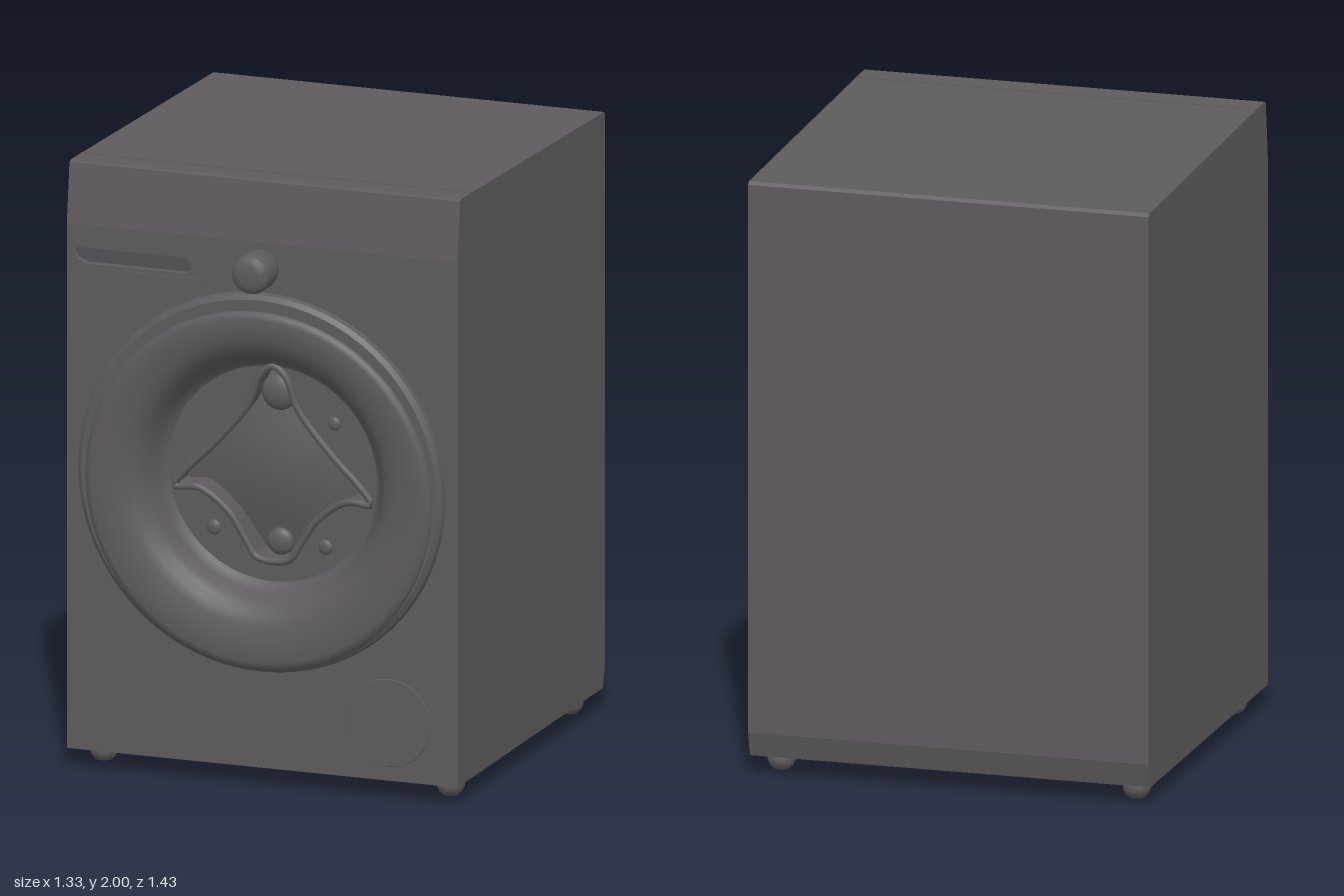
import * as THREE from 'three';
import { toCreasedNormals } from 'three/addons/utils/BufferGeometryUtils.js';

const HALF = 0.665, FRONT = 0.595, DOOR_Y = 1.0;

export function createModel() {
  const model = new THREE.Group();
  model.name = 'washingMachine';
  const grey = new THREE.MeshStandardMaterial({ color: 0x5e5a5d, side: THREE.DoubleSide });
  grey.name = 'darkGrey';

  const add = (name, geometry, x = 0, y = 0, z = 0) => {
    const mesh = new THREE.Mesh(geometry, grey);
    mesh.name = name;
    mesh.position.set(x, y, z);
    model.add(mesh);
    return mesh;
  };
  const vec = ([x, y]) => new THREE.Vector2(x, y);
  const extrude = (shape, depth) =>
    new THREE.ExtrudeGeometry(shape, { depth, bevelEnabled: false, curveSegments: 32 });
  const lathe = (points, segments) =>
    toCreasedNormals(new THREE.LatheGeometry(points.map(vec), segments), 0.6);
  const circle = (x, y, r) => new THREE.Path().absarc(x, y, r, 0, Math.PI * 2, true);

  // Cabinet: side profile (z, y) swept across the width
  const side = new THREE.Shape([
    [-0.69, 0.07], [0.3, 0.07], [0.3, 1.8], [FRONT, 1.8], [0.572, 1.995], [0.56, 2.0],
    [0.47, 1.998], [-0.7, 1.965], [-0.71, 1.955], [-0.71, 0.15],
  ].map(vec));
  const cabinet = extrude(side, HALF * 2);
  cabinet.rotateY(-Math.PI / 2);
  add('cabinet', cabinet, HALF);

  // Front panel with openings for the door and the drawer grip
  const panel = new THREE.Shape([[-HALF, 0.07], [HALF, 0.07], [HALF, 1.8], [-HALF, 1.8]].map(vec));
  panel.holes.push(circle(0, DOOR_Y, 0.5));
  panel.holes.push(new THREE.Path([
    [-0.645, 1.715], [-0.63, 1.725], [-0.26, 1.725], [-0.24, 1.705],
    [-0.24, 1.685], [-0.26, 1.672], [-0.6, 1.672], [-0.63, 1.685],
  ].map(vec)));
  add('frontPanel', extrude(panel, FRONT - 0.3), 0, 0, 0.3);

  // Detergent drawer: sloped grip floor and lower lip
  const grip = add('drawerGrip', new THREE.BoxGeometry(0.42, 0.09, 0.02), -0.44, 1.7, 0.565);
  grip.rotation.x = 0.25;
  add('drawerLip', new THREE.BoxGeometry(0.43, 0.012, 0.012), -0.42, 1.655, FRONT);

  // Door frame behind the door ring
  const frame = lathe([[0.625, 0], [0.62, 0.018], [0.605, 0.03], [0.5, 0.03]], 72);
  frame.rotateX(Math.PI / 2);
  add('doorFrame', frame, 0, 1.012, FRONT);

  // Door ring running into the bowl; the bowl sits a little higher than the ring
  const ring = new THREE.LatheGeometry([
    [0.592, 0.6], [0.592, 0.622], [0.582, 0.637], [0.565, 0.642], [0.52, 0.641], [0.47, 0.632],
    [0.44, 0.62], [0.415, 0.6], [0.398, 0.575], [0.382, 0.54], [0.365, 0.505], [0.345, 0.495],
  ].map(vec), 72);
  ring.rotateX(Math.PI / 2);
  const pos = ring.attributes.position;
  for (let i = 0; i < pos.count; i++) {
    const r = Math.hypot(pos.getX(i), pos.getY(i));
    pos.setY(i, pos.getY(i) + 0.025 * THREE.MathUtils.smoothstep(0.59 - r, 0, 0.15));
  }
  ring.computeVertexNormals();
  add('doorRing', toCreasedNormals(ring, 0.8), 0, 0.99, 0);

  // Door glass with a four-pointed hollow
  const half = [[0, 0.355], [0.045, 0.32], [0.085, 0.22], [0.2, 0.08], [0.3, -0.02], [0.335, -0.07],
    [0.25, -0.07], [0.15, -0.14], [0.09, -0.23], [0.055, -0.28]];
  const outline = [...half, ...half.slice(1).reverse().map(([x, y]) => [-x, y])];
  const starCurve = new THREE.CatmullRomCurve3(
    outline.map(([x, y]) => new THREE.Vector3(x, y, 0)), true);
  const star = starCurve.getPoints(80).slice(0, 80).map((p) => new THREE.Vector2(p.x, p.y));
  const glass = new THREE.Shape().absarc(0, 0, 0.37, 0, Math.PI * 2, false);
  glass.holes.push(new THREE.Path(star));
  add('glass', extrude(glass, 0.12), 0, 1.015, 0.38);
  add('glassLip', new THREE.TubeGeometry(starCurve, 96, 0.012, 8, true), 0, 1.015, 0.5);

  // Bulging floor of the hollow
  const floor = lathe([[0.38, 0], [0.25, 0.035], [0.14, 0.065], [0.06, 0.078], [0, 0.08]], 48);
  floor.rotateX(Math.PI / 2);
  add('hollowFloor', floor, 0, 1.015, 0.36);

  // Rounded bumps in and around the hollow
  for (const [x, y, r, z] of [[0, 1.27, 0.06, 0.44], [0, 0.775, 0.045, 0.43],
    [0.21, 1.2, 0.022, 0.5], [-0.2, 0.82, 0.025, 0.5], [0.18, 0.79, 0.025, 0.5]]) {
    const bump = new THREE.SphereGeometry(r, 20, 12);
    bump.scale(1, 1, 0.5);
    add('glassBump', bump, x, y, z);
  }

  // Programme knob
  const knob = lathe([[0.055, 0], [0.06, 0.01], [0.065, 0.03], [0.065, 0.095],
    [0.06, 0.112], [0.048, 0.122], [0.03, 0.126], [0, 0.127]], 40);
  knob.rotateX(Math.PI / 2);
  add('knob', knob, 0, 1.72, FRONT - 0.002);

  // Round filter cover
  const cover = new THREE.CylinderGeometry(0.143, 0.145, 0.004, 48);
  cover.rotateX(Math.PI / 2);
  add('filterCover', cover, 0.43, 0.26, FRONT + 0.001);

  // Seams on the lid and the back
  add('lidSeam', new THREE.BoxGeometry(HALF * 2, 0.006, 0.006), 0, 1.997, 0.47);
  add('backSeam', new THREE.BoxGeometry(HALF * 1.9, 0.008, 0.006), 0, 1.66, -0.71);

  // Feet
  const foot = lathe([[0, 0.005], [0.025, 0.008], [0.038, 0.02], [0.045, 0.035],
    [0.045, 0.055], [0.035, 0.075]], 20);
  for (const x of [-0.59, 0.59]) {
    for (const z of [0.46, -0.59]) add('foot', foot, x, 0, z);
  }
  return model;
}
